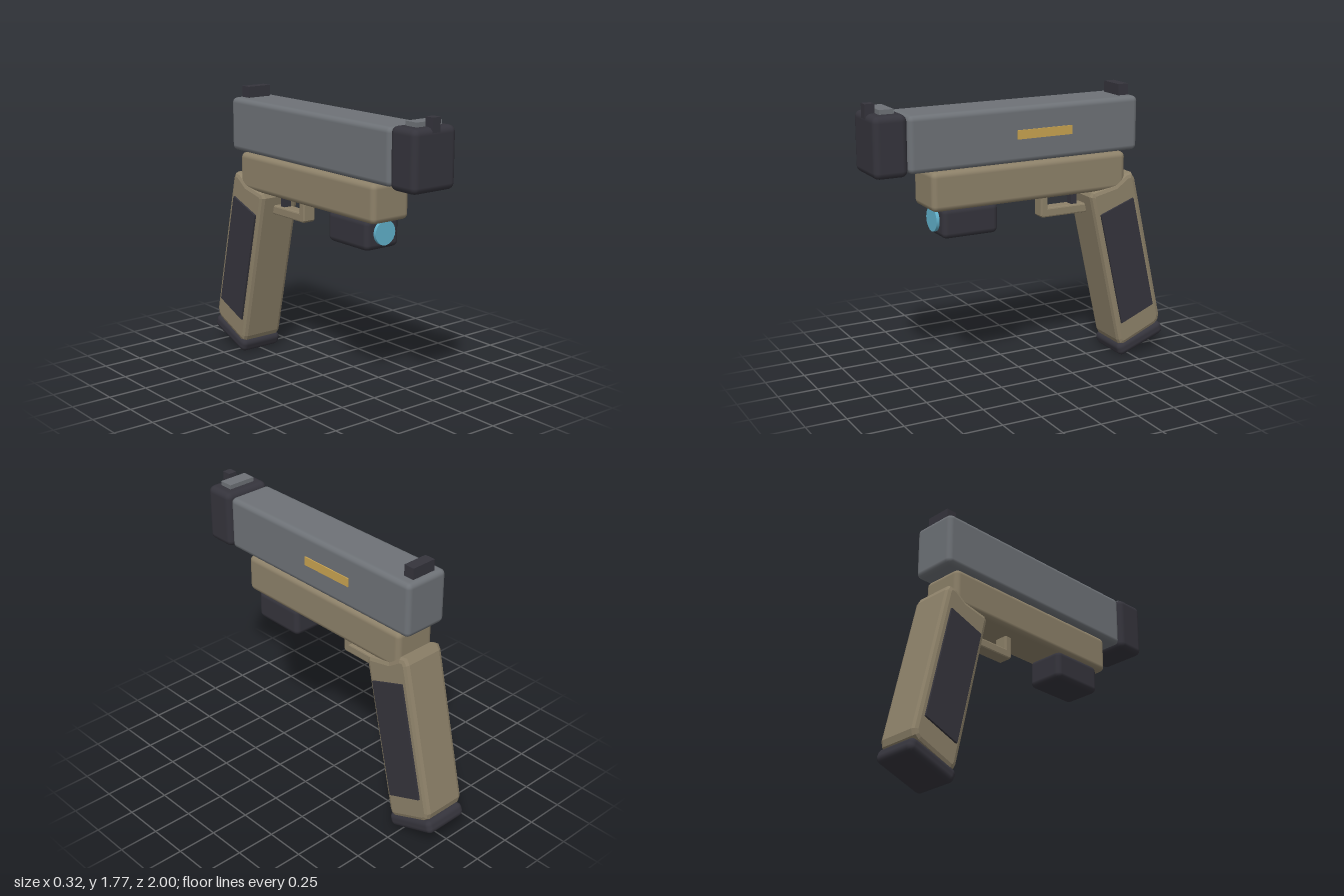
import * as THREE from 'three';
import { RoundedBoxGeometry } from 'three/addons/geometries/RoundedBoxGeometry.js';

const material = (name, color) => {
  const m = new THREE.MeshStandardMaterial({ color });
  m.name = name;
  return m;
};

export function createModel() {
  const group = new THREE.Group();
  const tan = material('tan polymer', 0x8d8169);
  const steel = material('grey steel', 0x6e7277);
  const dark = material('dark rubber', 0x35343c);
  const gold = material('gold inlay', 0xc8a350);
  const cyan = material('cyan glass', 0x62b2cc);

  const add = (name, geometry, mat) => {
    const mesh = new THREE.Mesh(geometry, mat);
    mesh.name = name;
    group.add(mesh);
    return mesh;
  };

  // Box given by its half width and its y and z ranges; r rounds the edges
  const block = (name, mat, halfX, y0, y1, z0, z1, r = 0) => {
    const size = [halfX * 2, y1 - y0, z1 - z0];
    const g = r ? new RoundedBoxGeometry(...size, 2, r) : new THREE.BoxGeometry(...size);
    g.translate(0, (y0 + y1) / 2, (z0 + z1) / 2);
    return add(name, g, mat);
  };

  // Side profile of [z, y] points, extruded across x with bevelled edges
  const profile = (name, mat, points, x0, x1, bevel = 0) => {
    const shape = new THREE.Shape(points.map(([z, y]) => new THREE.Vector2(z, y)));
    const g = new THREE.ExtrudeGeometry(shape, {
      depth: x1 - x0 - bevel * 2, bevelEnabled: bevel > 0, bevelSize: bevel,
      bevelThickness: bevel, bevelOffset: -bevel, bevelSegments: 2,
    });
    g.translate(0, 0, bevel - x1);
    g.rotateY(-Math.PI / 2);
    return add(name, g, mat);
  };

  // Upper body
  block('slide', steel, 0.15, 1.375, 1.715, -0.76, 0.78, 0.033);
  block('muzzleBlock', dark, 0.16, 1.365, 1.73, 0.785, 0.995, 0.04);
  block('frame', tan, 0.14, 1.13, 1.37, -0.685, 0.635, 0.035);
  block('slideInlay', gold, 0.004, 1.52, 1.575, -0.285, 0.085).position.x = 0.153;

  // Sights
  block('rearSight', dark, 0.083, 1.71, 1.785, -0.725, -0.655);
  block('frontSightBase', steel, 0.093, 1.71, 1.757, 0.845, 0.935);
  block('frontSightBlade', dark, 0.028, 1.7, 1.785, 0.935, 0.995);

  // Light under the barrel
  block('lampBody', dark, 0.127, 0.957, 1.145, 0.2, 0.565, 0.035);
  const lens = add('lampLens', new THREE.CylinderGeometry(0.075, 0.075, 0.03, 20), cyan);
  lens.rotation.x = Math.PI / 2;
  lens.position.set(0, 1.06, 0.57);

  // Trigger and its guard
  block('trigger', dark, 0.025, 1.02, 1.15, -0.4, -0.36);
  profile('triggerGuard', tan, [
    [-0.135, 1.15], [-0.185, 1.15], [-0.185, 1.045], [-0.48, 1.045],
    [-0.48, 0.985], [-0.148, 0.985], [-0.135, 0.998],
  ], -0.045, 0.045, 0.01);

  // Raked grip with a side panel on each face
  profile('grip', tan, [
    [-0.435, 1.1], [-0.45, 1.13], [-0.61, 1.165], [-0.69, 1.222], [-0.735, 1.23],
    [-0.757, 1.195], [-0.973, 0.255], [-0.965, 0.215], [-0.94, 0.19],
    [-0.7, 0.09], [-0.67, 0.095], [-0.655, 0.125],
  ], -0.148, 0.148, 0.028);
  for (const side of [-1, 1]) {
    profile(side > 0 ? 'leftGripPanel' : 'rightGripPanel', dark, [
      [-0.5, 0.985], [-0.735, 1.07], [-0.905, 0.34], [-0.67, 0.245],
    ], side * 0.152 - 0.009, side * 0.152 + 0.009);
  }

  // Magazine base plate
  const base = add('magazineBase', new RoundedBoxGeometry(0.304, 0.09, 0.355, 2, 0.035), dark);
  base.position.set(0, 0.108, -0.828);
  base.rotation.x = 0.35;

  return group;
}
